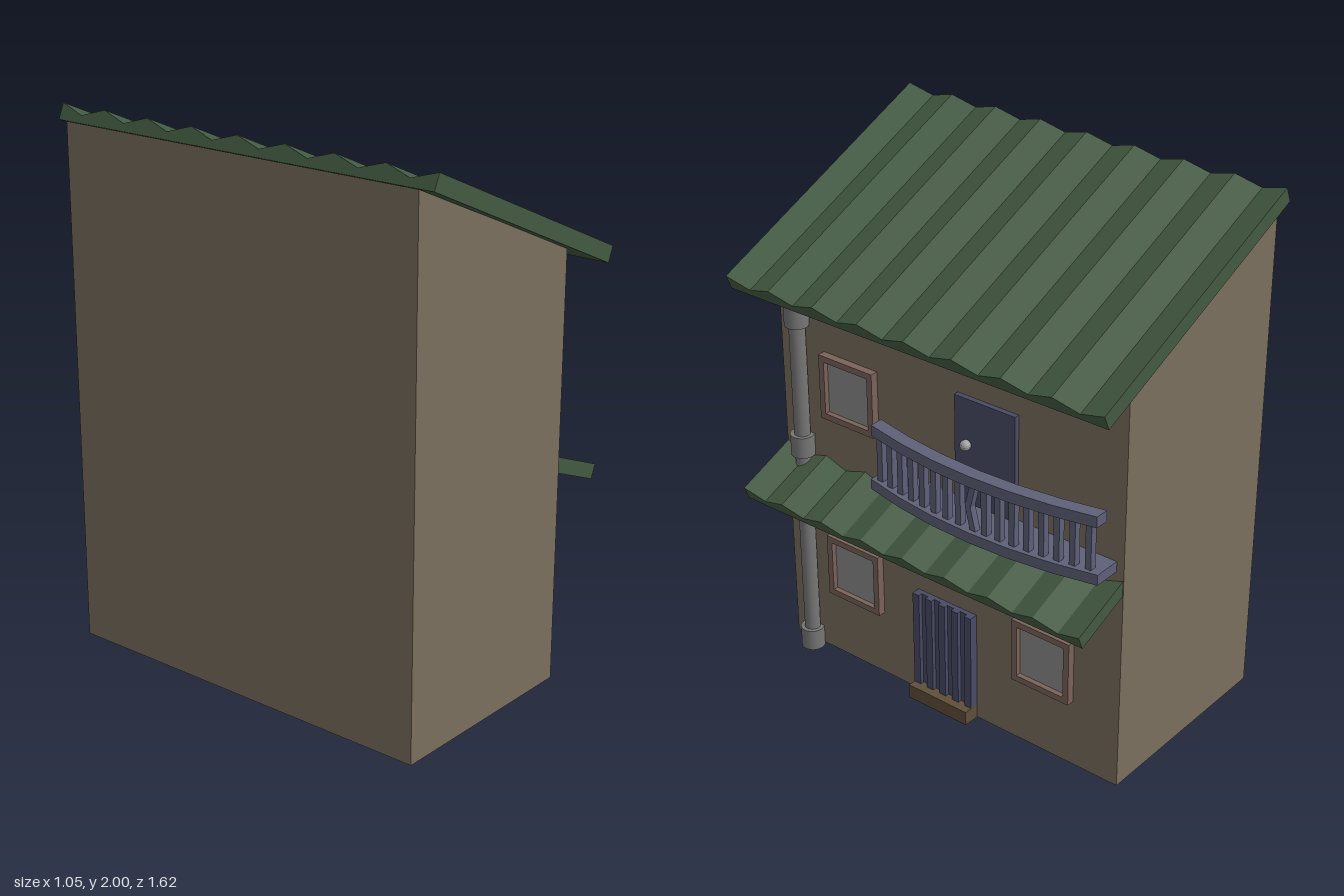
import * as THREE from 'three';

const WALL = 0.285; // x of the facade, which looks toward +x
const mat = (color) => new THREE.MeshStandardMaterial({ color, flatShading: true });

export function createModel() {
  const house = new THREE.Group();
  house.name = 'house';
  const m = {
    wall: mat(0x7a6f5e), roof: mat(0x435a42), door: mat(0x494b66), rail: mat(0x5e6078),
    frame: mat(0x7a625a), pane: mat(0x8c8c8c), step: mat(0x5f4e3a), knob: mat(0xa0a0a0),
  };
  const pipeMat = new THREE.MeshStandardMaterial({ color: 0x777777 });

  const add = (name, geometry, material, parent = house) => {
    const mesh = new THREE.Mesh(geometry, material);
    mesh.name = name;
    parent.add(mesh);
    return mesh;
  };
  // Box given by its limits on each axis
  const box = (name, material, [x0, x1], [y0, y1], [z0, z1], parent) => {
    const mesh = add(name, new THREE.BoxGeometry(x1 - x0, y1 - y0, z1 - z0), material, parent);
    mesh.position.set((x0 + x1) / 2, (y0 + y1) / 2, (z0 + z1) / 2);
    return mesh;
  };
  const group = (name) => {
    const g = new THREE.Group();
    g.name = name;
    house.add(g);
    return g;
  };

  // Walls with a single-pitch top
  const side = new THREE.Shape([[-0.525, 0.01], [WALL, 0.01], [WALL, 1.596], [-0.525, 1.947]]
    .map(([x, y]) => new THREE.Vector2(x, y)));
  add('walls', new THREE.ExtrudeGeometry(side, { depth: 1.52, bevelEnabled: false }), m.wall)
    .position.z = -0.76;

  // Corrugated slab: zigzag top, flat underside, running down a slope
  const corrugated = (name, [x0, y0], [x1, y1], half, peak, valley) => {
    const pts = [new THREE.Vector2(-half, 0), new THREE.Vector2(half, 0)];
    for (let i = 0; i <= 16; i++) {
      pts.push(new THREE.Vector2(half - (i * half) / 8, i % 2 ? valley : peak));
    }
    const depth = Math.hypot(x1 - x0, y1 - y0);
    const geo = new THREE.ExtrudeGeometry(new THREE.Shape(pts), { depth, bevelEnabled: false });
    const down = new THREE.Vector3(x1 - x0, y1 - y0, 0).normalize();
    const normal = new THREE.Vector3(-down.y, down.x, 0);
    geo.applyMatrix4(new THREE.Matrix4().makeBasis(new THREE.Vector3(0, 0, -1), normal, down));
    add(name, geo, m.roof).position.set(x0, y0, 0);
  };
  corrugated('roof', [-0.515, 1.945], [0.465, 1.515], 0.81, 0.06, 0.028);
  corrugated('awning', [0.262, 0.803], [0.502, 0.705], 0.757, 0.055, 0.026);

  // Windows: raised frame around a recessed pane
  const frameShape = new THREE.Shape([[-1, -1], [1, -1], [1, 1], [-1, 1]]
    .map(([x, y]) => new THREE.Vector2(x * 0.125, y * 0.126)));
  frameShape.holes.push(new THREE.Path([[-1, -1], [-1, 1], [1, 1], [1, -1]]
    .map(([x, y]) => new THREE.Vector2(x * 0.101, y * 0.102))));
  const frameGeo = new THREE.ExtrudeGeometry(frameShape, { depth: 0.035, bevelEnabled: false });
  frameGeo.rotateY(Math.PI / 2);
  for (const [y, z] of [[1.153, 0.43], [0.405, 0.43], [0.405, -0.44]]) {
    const win = group('window');
    win.position.set(WALL - 0.005, y, z);
    add('windowFrame', frameGeo, m.frame, win);
    box('windowPane', m.pane, [0, 0.015], [-0.103, 0.103], [-0.102, 0.102], win);
  }

  // Lower door of planks, alternately proud and set back, above a step
  const lowerDoor = group('lowerDoor');
  for (let i = 0; i < 9; i++) {
    const z = -0.135 + i * 0.03;
    box('doorPlank', m.door, [WALL - 0.01, WALL + (i % 2 ? 0.018 : 0.034)], [0.065, 0.455], [z, z + 0.03], lowerDoor);
  }
  box('doorStep', m.step, [WALL - 0.01, 0.35], [0.01, 0.066], [-0.135, 0.135]);

  // Upper door with a round knob
  box('upperDoor', m.door, [WALL - 0.01, WALL + 0.02], [0.9, 1.323], [-0.32, -0.06]);
  add('doorKnob', new THREE.SphereGeometry(0.02, 12, 8), m.knob).position.set(WALL + 0.03, 1.15, -0.115);

  // Balcony bowed outward in plan
  const balcony = group('balcony');
  const Z0 = 0.25, Z1 = -0.72, SEG = 6;
  const bow = (z) => {
    const t = (2 * z - Z0 - Z1) / (Z0 - Z1);
    return 0.06 * (1 - t * t);
  };
  // Horizontal slab between two x offsets; the inner edge may stay straight
  const slab = (name, inner, outer, y, height, z0, z1, straight) => {
    const zs = Array.from({ length: SEG + 1 }, (_, i) => z0 + ((z1 - z0) * i) / SEG);
    const pts = zs.map((z) => new THREE.Vector2(outer + bow(z), -z));
    if (straight) pts.push(new THREE.Vector2(inner, -z1), new THREE.Vector2(inner, -z0));
    else pts.push(...zs.map((z) => new THREE.Vector2(inner + bow(z), -z)).reverse());
    const geo = new THREE.ExtrudeGeometry(new THREE.Shape(pts), { depth: height, bevelEnabled: false });
    geo.rotateX(-Math.PI / 2);
    add(name, geo, m.rail, balcony).position.y = y;
  };
  slab('balconyFloor', WALL - 0.005, 0.393, 0.88, 0.04, Z0, -0.73, true);
  slab('handrail', 0.335, 0.388, 1.093, 0.042, Z0 - 0.005, Z1, false);
  const COUNT = 17, BENT = 8;
  for (let i = 0; i < COUNT; i++) {
    const z = 0.215 - (i * 0.9) / (COUNT - 1);
    const x = 0.362 + bow(z);
    if (i !== BENT) {
      box('baluster', m.rail, [x - 0.013, x + 0.013], [0.915, 1.097], [z - 0.012, z + 0.012], balcony);
      continue;
    }
    // One baluster is kinked at mid height
    const bent = new THREE.BoxGeometry(0.026, 0.182, 0.024, 1, 2, 1);
    const p = bent.attributes.position;
    for (let k = 0; k < p.count; k++) if (Math.abs(p.getY(k)) < 0.01) p.setZ(k, p.getZ(k) + 0.022);
    add('bentBaluster', bent, m.rail, balcony).position.set(x, 1.006, z - 0.01);
  }

  // Drainpipe with collars
  const drain = group('drainpipe');
  drain.position.set(0.31, 0, 0.658);
  const tube = (name, r, y0, y1) => {
    add(name, new THREE.CylinderGeometry(r, r, y1 - y0, 20), pipeMat, drain).position.y = (y0 + y1) / 2;
  };
  tube('pipe', 0.03, 0.005, 1.6);
  for (const [y0, y1] of [[0, 0.085], [0.843, 0.926], [1.363, 1.447]]) tube('pipeCollar', 0.045, y0, y1);

  return house;
}
